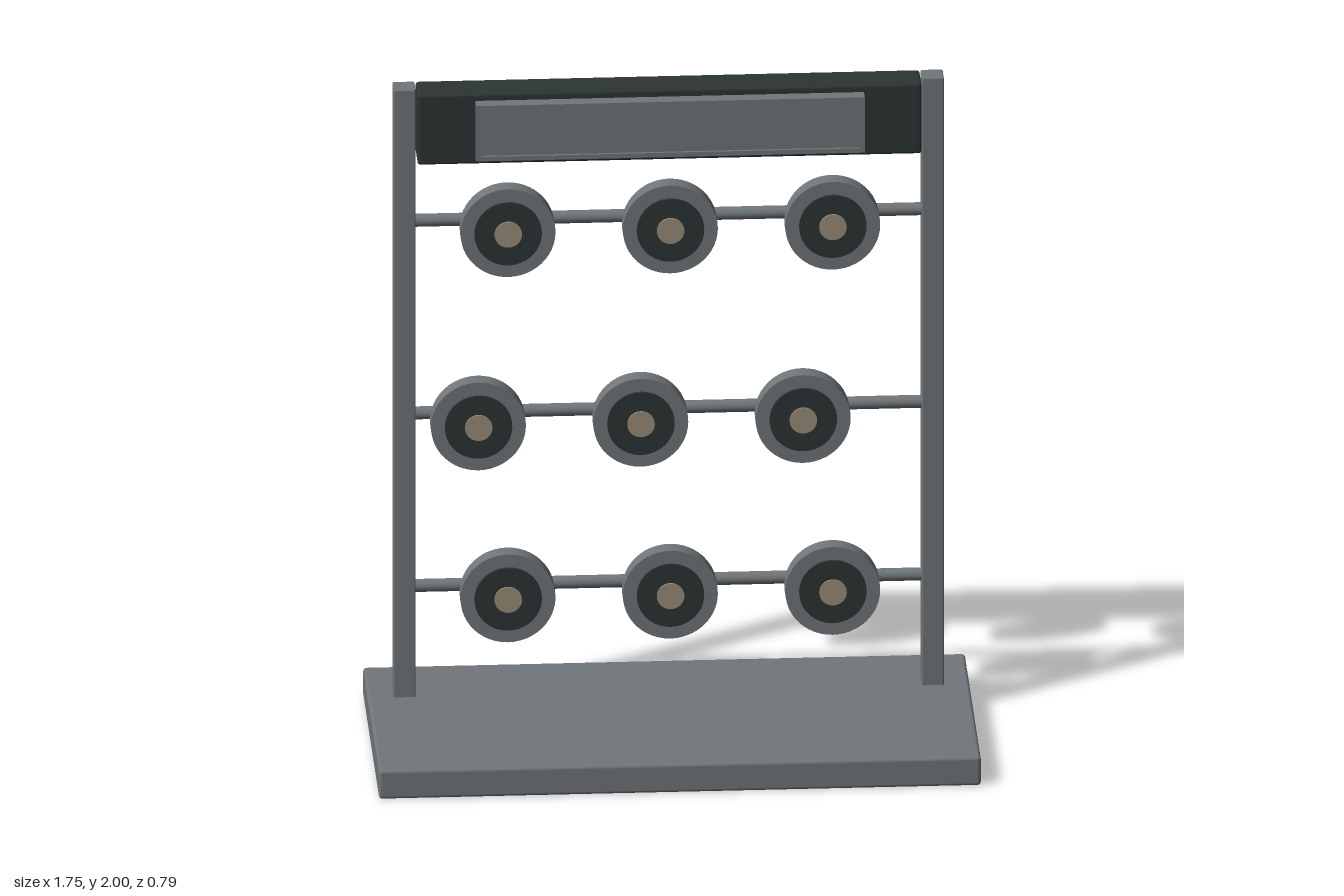
import * as THREE from 'three';
import { RoundedBoxGeometry } from 'three/addons/geometries/RoundedBoxGeometry.js';

export function createModel() {
  const model = new THREE.Group();
  const material = (name, color) => {
    const m = new THREE.MeshStandardMaterial({ color });
    m.name = name;
    return m;
  };
  const grey = material('steel grey', 0x70767a);
  const dark = material('dark green grey', 0x2c3533);
  const tan = material('tan', 0x9a8e79);

  const add = (parent, name, geometry, mat, x, y, z) => {
    const mesh = new THREE.Mesh(geometry, mat);
    mesh.name = name;
    mesh.position.set(x, y, z);
    parent.add(mesh);
    return mesh;
  };
  // Box with softened edges, given by its size
  const box = (w, h, d, r) => new RoundedBoxGeometry(w, h, d, 2, r);
  // Short cylinder whose axis points forward
  const disc = (r, d, sides = 48) => new THREE.CylinderGeometry(r, r, d, sides).rotateX(Math.PI / 2);

  // Base plate and the two posts
  add(model, 'base', box(1.75, 0.09, 0.785, 0.01), grey, 0, 0.045, 0);
  for (const side of [-1, 1]) {
    add(model, side > 0 ? 'leftPost' : 'rightPost', box(0.064, 1.92, 0.066, 0.004), grey, side * 0.768, 1.04, -0.19);
  }

  // Header board with a framed panel
  add(model, 'header', box(1.465, 0.22, 0.11, 0.008), dark, 0, 1.89, -0.169);
  const rectangle = (target, w, h) => {
    target.moveTo(-w / 2, -h / 2);
    target.lineTo(w / 2, -h / 2);
    target.lineTo(w / 2, h / 2);
    target.lineTo(-w / 2, h / 2);
    target.closePath();
    return target;
  };
  const frame = rectangle(new THREE.Shape(), 1.13, 0.174);
  frame.holes.push(rectangle(new THREE.Path(), 1.1, 0.146));
  add(model, 'headerFrame', new THREE.ExtrudeGeometry(frame, { depth: 0.042, bevelEnabled: false }), grey, 0, 1.892, -0.116);
  add(model, 'headerPanel', new THREE.BoxGeometry(1.1, 0.146, 0.034), grey, 0, 1.892, -0.099);

  // Three rods, each carrying three round targets; the middle row is shifted
  const rows = [[1.576, 0], [0.97, -0.086], [0.427, 0]];
  for (const [y, shift] of rows) {
    const rod = new THREE.CylinderGeometry(0.019, 0.019, 1.5, 20).rotateZ(Math.PI / 2);
    add(model, 'rod', rod, grey, 0, y, -0.19);
    for (const column of [-1, 0, 1]) {
      const target = new THREE.Group();
      target.name = 'target';
      target.position.set(column * 0.472 + shift, y, 0);
      add(target, 'targetPlate', disc(0.138, 0.053), grey, 0, 0, -0.1035);
      add(target, 'targetRing', disc(0.098, 0.009), dark, 0, 0, -0.0735);
      add(target, 'targetCentre', disc(0.04, 0.007, 32), tan, 0, 0, -0.067);
      model.add(target);
    }
  }
  return model;
}
